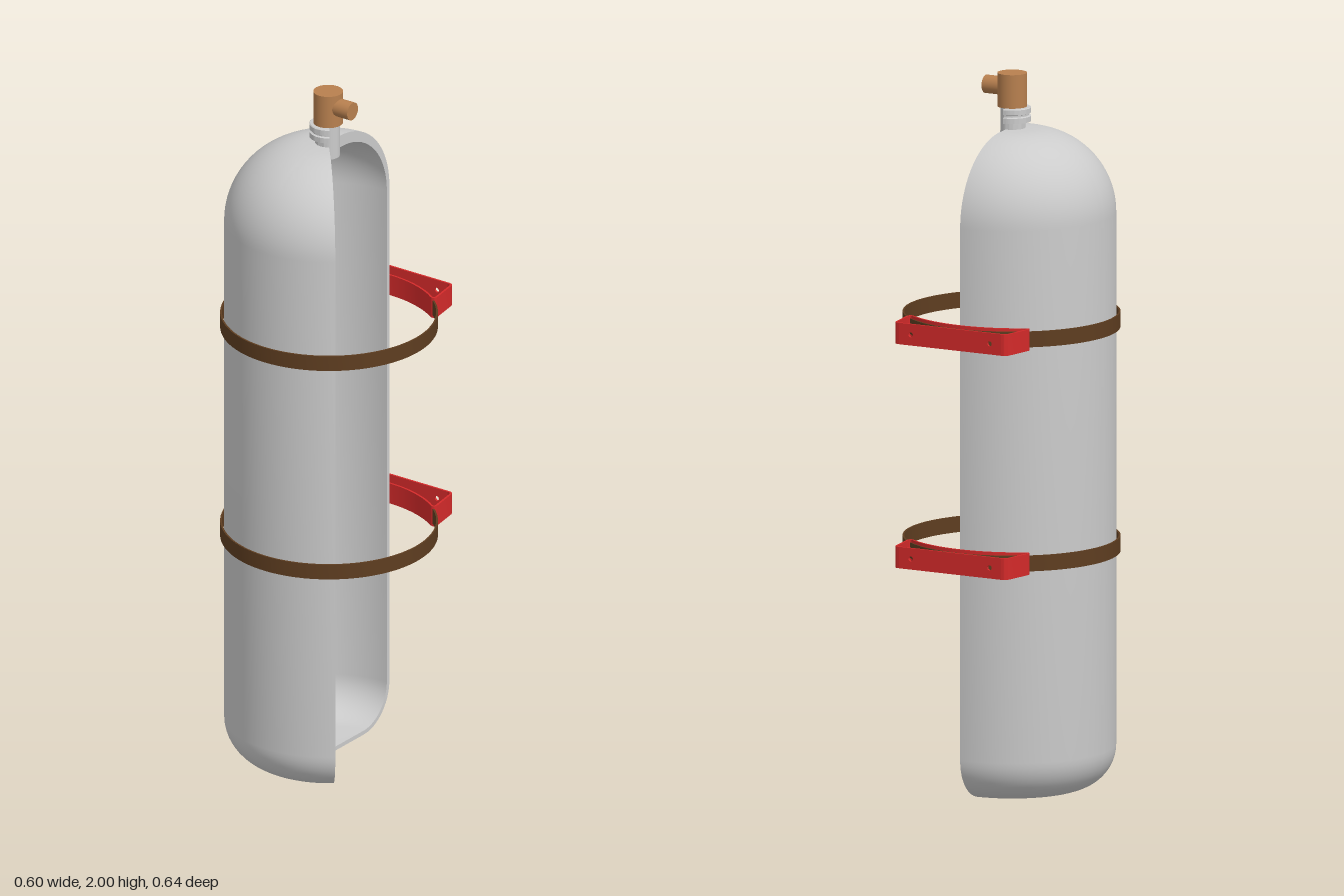
import * as THREE from 'three';
import { toCreasedNormals, mergeGeometries } from 'three/addons/utils/BufferGeometryUtils.js';

const AXIS_Z = 0.0215;
const mat = (color) => new THREE.MeshStandardMaterial({ color, side: THREE.DoubleSide });
const grey = mat(0xcccccc), copper = mat(0xb8804f), leather = mat(0x5e3d20), red = mat(0xd42a2a);

function add(parent, name, geometry, material, x = 0, y = 0, z = 0) {
  const mesh = new THREE.Mesh(geometry, material);
  mesh.name = name;
  mesh.position.set(x, y, z);
  parent.add(mesh);
  return mesh;
}

// Points of a quarter-style arc in the (radius, height) plane
function arc(cx, cy, r, a0, a1, n) {
  return Array.from({ length: n + 1 }, (_, i) => {
    const a = a0 + (a1 - a0) * i / n;
    return new THREE.Vector2(cx + r * Math.cos(a), cy + r * Math.sin(a));
  });
}

// Cutaway shell: closed wall section swept through 220 degrees, with flat cut faces
function shellGeometry() {
  const v = (x, y) => new THREE.Vector2(x, y);
  const H = Math.PI / 2;
  const section = [
    v(0, 0),
    ...arc(0.166, 0.12, 0.12, -H, 0, 12),
    ...arc(0.052, 1.611, 0.234, 0, H, 20),
    v(0.036, 1.846), v(0.036, 1.862),
    v(0.052, 1.865), v(0.052, 1.88), v(0.046, 1.882), v(0.046, 1.887), v(0.052, 1.889),
    v(0.052, 1.903), v(0.05, 1.905), v(0.033, 1.905), v(0.033, 1.81),
    ...arc(0.064, 1.6, 0.21, H, 0, 20),
    ...arc(0.166, 0.12, 0.108, 0, -H, 12),
    v(0, 0.012),
  ];
  const start = -Math.PI, sweep = THREE.MathUtils.degToRad(220);
  const wall = toCreasedNormals(new THREE.LatheGeometry(section, 72, start, sweep), 0.5);
  const caps = [start, start + sweep].map((phi) =>
    new THREE.ShapeGeometry(new THREE.Shape(section)).rotateY(phi - H).toNonIndexed());
  return mergeGeometries([wall, ...caps]);
}

// Flat ring band around the tank
function strapGeometry(outer, inner, h) {
  const p = [[inner, -h / 2], [outer, -h / 2], [outer, h / 2], [inner, h / 2], [inner, -h / 2]];
  return toCreasedNormals(new THREE.LatheGeometry(p.map((q) => new THREE.Vector2(...q)), 96), 0.5);
}

// Thickens a plan-view line (x, -z) into a vertical strip
function ribbonGeometry(points, t, h) {
  const side = (s) => points.map((p, i) => {
    const a = points[Math.max(i - 1, 0)], b = points[Math.min(i + 1, points.length - 1)];
    const d = b.clone().sub(a).normalize();
    return new THREE.Vector2(p.x - d.y * s, p.y + d.x * s);
  });
  const shape = new THREE.Shape([...side(t / 2), ...side(-t / 2).reverse()]);
  const g = new THREE.ExtrudeGeometry(shape, { depth: h, bevelEnabled: false });
  return toCreasedNormals(g.translate(0, 0, -h / 2).rotateX(-Math.PI / 2), 0.6);
}

// Wall bracket: curved cradle and bent sides, with a drilled back plate
function makeBracket() {
  const group = new THREE.Group();
  group.name = 'wallBracket';
  const t = 0.006, h = 0.06;
  const bend = (a, c, b) =>
    new THREE.QuadraticBezierCurve(...[a, c, b].map((q) => new THREE.Vector2(...q))).getPoints(8);
  const rightEnd = [
    ...bend([0.162, 0.317], [0.175, 0.317], [0.1775, 0.304]),
    ...bend([0.1895, 0.228], [0.1925, 0.207], [0.176, 0.2165]),
  ];
  const leftEnd = rightEnd.map((p) => new THREE.Vector2(-p.x, p.y)).reverse();
  const half = 0.55;
  const cradle = arc(0, -0.064, 0.332, Math.PI / 2 - half, Math.PI / 2 + half, 32)
    .filter((p) => Math.abs(p.x) < 0.17);
  add(group, 'cradleAndSides', ribbonGeometry([...rightEnd, ...cradle, ...leftEnd], t, h), red);

  const plate = new THREE.Shape();
  plate.moveTo(-0.162, -h / 2).lineTo(0.162, -h / 2).lineTo(0.162, h / 2).lineTo(-0.162, h / 2);
  for (const x of [-0.125, 0.125]) {
    plate.holes.push(new THREE.Path().absarc(x, 0, 0.007, 0, Math.PI * 2, true));
  }
  const plateGeometry = new THREE.ExtrudeGeometry(plate, { depth: t, bevelEnabled: false });
  add(group, 'backPlate', plateGeometry, red, 0, 0, -0.32);
  return group;
}

export function createModel() {
  const model = new THREE.Group();
  model.name = 'cutawayGasCylinder';

  add(model, 'tankShell', shellGeometry(), grey, 0, 0, AXIS_Z);

  // Valve: threaded stem, head and side outlet
  const valve = new THREE.Group();
  valve.name = 'valve';
  valve.position.z = AXIS_Z;
  model.add(valve);
  add(valve, 'valveStem', new THREE.CylinderGeometry(0.032, 0.032, 0.1, 40), grey, 0, 1.857);
  add(valve, 'valveHead', new THREE.CylinderGeometry(0.041, 0.041, 0.094, 48), copper, 0, 1.953);
  const outlet = new THREE.CylinderGeometry(0.0255, 0.0255, 0.063, 40).rotateZ(-Math.PI / 2);
  add(valve, 'valveOutlet', outlet, copper, 0.0515, 1.96);

  // Two straps, each with its bracket
  for (const y of [0.683, 1.311]) {
    const mount = new THREE.Group();
    mount.name = 'strapMount';
    mount.position.y = y;
    add(mount, 'strap', strapGeometry(0.2995, 0.2945, 0.044), leather, 0, 0, 0.0175);
    mount.add(makeBracket());
    model.add(mount);
  }
  return model;
}
